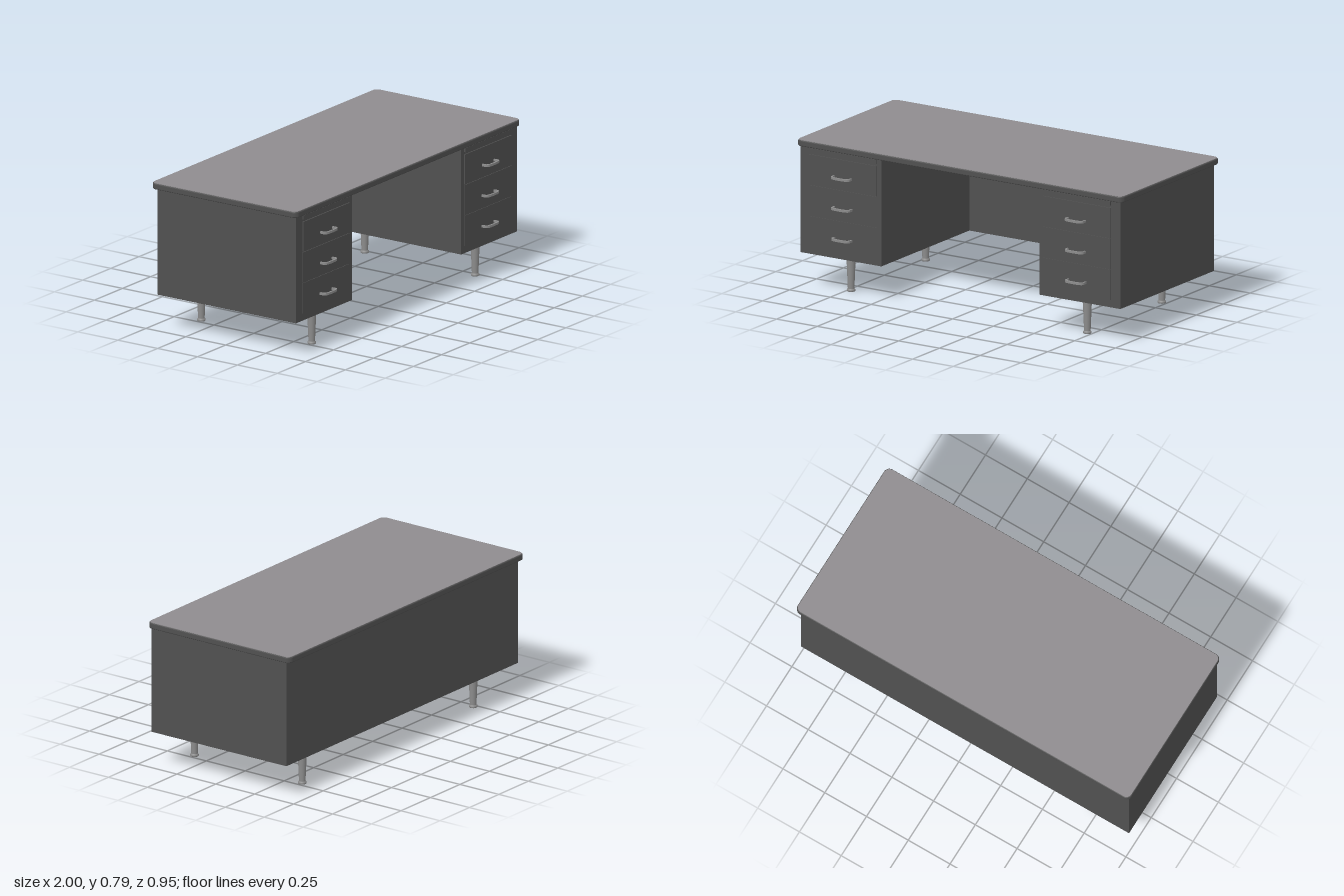
import * as THREE from 'three';

const mat = (name, color) => new THREE.MeshStandardMaterial({ name, color });

// rectangle with rounded corners, centred on (0, cy)
function roundedRect(w, d, r, cy = 0) {
  const s = new THREE.Shape();
  const x = w / 2, y0 = cy - d / 2, y1 = cy + d / 2;
  s.moveTo(-x + r, y0);
  s.lineTo(x - r, y0);
  s.absarc(x - r, y0 + r, r, -Math.PI / 2, 0);
  s.absarc(x - r, y1 - r, r, 0, Math.PI / 2);
  s.absarc(-x + r, y1 - r, r, Math.PI / 2, Math.PI);
  s.absarc(-x + r, y0 + r, r, Math.PI, Math.PI * 1.5);
  return s;
}

export function createModel() {
  const model = new THREE.Group();
  model.name = 'desk';
  const steel = mat('dark grey steel', 0x505050);
  const laminate = mat('grey laminate', 0x8f8c8f);
  const metal = mat('brushed metal', 0x8c8c8c);

  function add(parent, name, geometry, material, x = 0, y = 0, z = 0) {
    const mesh = new THREE.Mesh(geometry, material);
    mesh.name = name;
    mesh.position.set(x, y, z);
    parent.add(mesh);
    return mesh;
  }
  // box given by its lower and upper corners
  function box(parent, name, [x0, y0, z0], [x1, y1, z1], material) {
    const g = new THREE.BoxGeometry(x1 - x0, y1 - y0, z1 - z0);
    return add(parent, name, g, material, (x0 + x1) / 2, (y0 + y1) / 2, (z0 + z1) / 2);
  }

  // table top: rounded dark edge with a thin laminate sheet
  const bevel = 0.006;
  const edge = new THREE.ExtrudeGeometry(roundedRect(2 - 2 * bevel, 0.914 - 2 * bevel, 0.025, 0.015), {
    depth: 0.032 - 2 * bevel, bevelSize: bevel, bevelThickness: bevel, bevelSegments: 3, curveSegments: 6,
  }).rotateX(-Math.PI / 2);
  add(model, 'tableTopEdge', edge, steel, 0, 0.754 + bevel, 0);
  const sheet = new THREE.ExtrudeGeometry(roundedRect(1.992, 0.906, 0.028, 0.015), {
    depth: 0.003, bevelEnabled: false, curveSegments: 6,
  }).rotateX(-Math.PI / 2);
  add(model, 'tableTopSheet', sheet, laminate, 0, 0.785, 0);

  // modesty panel across the back of the knee space
  box(model, 'backPanel', [-0.486, 0.187, -0.44], [0.486, 0.756, -0.39], steel);

  // handle: flat bow, open towards the drawer
  const bow = new THREE.Shape();
  bow.moveTo(-0.057, 0);
  bow.lineTo(-0.057, 0.022);
  bow.quadraticCurveTo(-0.054, 0.036, -0.035, 0.039);
  bow.quadraticCurveTo(0, 0.043, 0.035, 0.039);
  bow.quadraticCurveTo(0.054, 0.036, 0.057, 0.022);
  bow.lineTo(0.057, 0);
  bow.lineTo(0.048, 0);
  bow.lineTo(0.048, 0.018);
  bow.quadraticCurveTo(0.046, 0.027, 0.033, 0.03);
  bow.quadraticCurveTo(0, 0.033, -0.033, 0.03);
  bow.quadraticCurveTo(-0.046, 0.027, -0.048, 0.018);
  bow.lineTo(-0.048, 0);
  const bowGeo = new THREE.ExtrudeGeometry(bow, { depth: 0.012, bevelEnabled: false, curveSegments: 6 })
    .rotateX(Math.PI / 2);

  // tapered leg with a foot ring
  const legGeo = new THREE.LatheGeometry([
    [0, 0], [0.019, 0], [0.022, 0.003], [0.022, 0.01], [0.018, 0.014], [0.017, 0.016], [0.024, 0.184],
  ].map(([x, y]) => new THREE.Vector2(x, y)), 20);

  for (const side of [-1, 1]) {
    const pedestal = new THREE.Group();
    pedestal.name = side > 0 ? 'leftPedestal' : 'rightPedestal';
    pedestal.position.x = side * 0.7335;
    model.add(pedestal);
    box(pedestal, 'cabinet', [-0.2485, 0.187, -0.44], [0.2485, 0.756, 0.427], steel);

    // drawer stack sits towards the knee space
    const cx = -side * 0.016;
    box(pedestal, 'pullOutBoard', [cx - 0.207, 0.73, 0.4], [cx + 0.207, 0.752, 0.435], steel);
    for (const [y0, y1, front, handleY] of [
      [0.557, 0.717, 0.433, 0.623], [0.392, 0.553, 0.431, 0.459], [0.226, 0.388, 0.43, 0.295],
    ]) {
      box(pedestal, 'drawerFront', [cx - 0.207, y0, 0.4], [cx + 0.207, y1, front], steel);
      add(pedestal, 'drawerHandle', bowGeo, metal, cx, handleY + 0.006, front);
    }

    // front and back legs on mounting plates
    for (const z of [-0.347, 0.345]) {
      const x = -side * 0.0085;
      box(pedestal, 'legPlate', [x - 0.047, 0.183, z - 0.047], [x + 0.047, 0.188, z + 0.047], steel);
      add(pedestal, 'leg', legGeo, metal, x, 0, z);
    }
  }
  return model;
}
